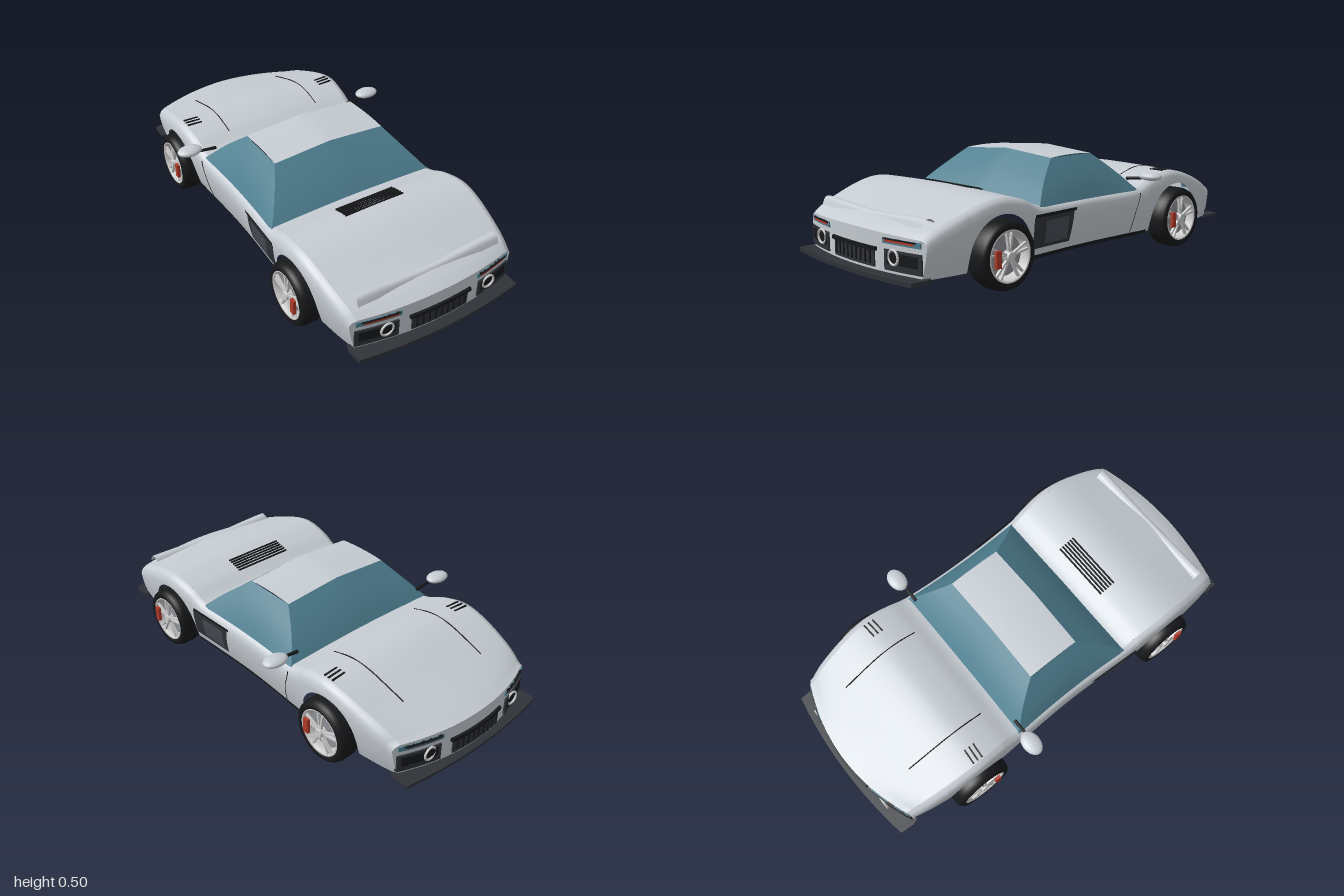
import * as THREE from 'three';

const mat = (color) => new THREE.MeshStandardMaterial({ color, side: THREE.DoubleSide });
const { clamp, lerp } = THREE.MathUtils;

// Smooth function of z through a few [z, value] points
function profile(pts) {
  const slope = (i) => {
    const a = pts[Math.max(i - 1, 0)], b = pts[Math.min(i + 1, pts.length - 1)];
    return (b[1] - a[1]) / (b[0] - a[0]);
  };
  return (z) => {
    let i = 0;
    while (i < pts.length - 2 && z > pts[i + 1][0]) i++;
    const [z0, a] = pts[i], [z1, b] = pts[i + 1], h = z1 - z0;
    const t = clamp((z - z0) / h, 0, 1), t2 = t * t, t3 = t2 * t;
    return (2 * t3 - 3 * t2 + 1) * a + (t3 - 2 * t2 + t) * h * slope(i)
      + (3 * t2 - 2 * t3) * b + (t3 - t2) * h * slope(i + 1);
  };
}

const TAIL = 0.95, NOSE = -0.97, AXLE = 0.55, HUB = 0.145, ARCH = 0.16, SILL = 0.09;
const topY = profile([[-0.97, 0.243], [-0.9, 0.268], [-0.75, 0.312], [-0.6, 0.355], [-0.51, 0.365], [-0.4, 0.343],
  [-0.3, 0.303], [0, 0.298], [0.32, 0.303], [0.42, 0.343], [0.54, 0.365], [0.63, 0.355], [0.77, 0.312], [0.9, 0.268], [0.95, 0.243]]);
const halfW = profile([[-0.97, 0.405], [-0.8, 0.425], [-0.55, 0.447], [-0.35, 0.437], [0, 0.425], [0.35, 0.437],
  [0.55, 0.447], [0.8, 0.428], [0.95, 0.408]]);
const sideX = (z, y) => halfW(z) - 0.03 * Math.max(0, (0.27 - y) / 0.18) ** 2;
const crownY = (x, z) => topY(z) + 0.01 * (1 - (Math.abs(x) / 0.42) ** 1.4);
// Curves the nose and tail back towards the corners
const bow = (x, z) => {
  const t = clamp((Math.abs(z) - 0.65) / 0.3, 0, 1);
  return z - Math.sign(z) * t * t * (z > 0 ? 0.06 : 0.1) * (x / 0.42) ** 2;
};
const bottomY = (z) => {
  const d = Math.abs(Math.abs(z) - AXLE);
  return d <= ARCH ? HUB + Math.sqrt(ARCH * ARCH - d * d) : SILL;
};

// Surface from f(u, v) => [x, y, z]
function grid(f, nu, nv, flip = false) {
  const pos = [], idx = [];
  for (let j = 0; j <= nv; j++) for (let i = 0; i <= nu; i++) pos.push(...f(i / nu, j / nv));
  for (let j = 0; j < nv; j++) for (let i = 0; i < nu; i++) {
    const a = j * (nu + 1) + i, b = a + 1, c = a + nu + 1, d = c + 1;
    idx.push(...(flip ? [a, c, b, b, c, d] : [a, b, c, b, d, c]));
  }
  const g = new THREE.BufferGeometry();
  g.setAttribute('position', new THREE.Float32BufferAttribute(pos, 3));
  g.setIndex(idx);
  g.computeVertexNormals();
  return g;
}

export function createModel() {
  const car = new THREE.Group();
  const paint = mat(0xc6ccd2), glass = mat(0x4f7f90), dark = mat(0x2f3237), black = mat(0x17181a);
  const metal = mat(0xcccccc), red = mat(0xb03a28), slate = mat(0x474b54);
  const add = (name, geo, m, x = 0, y = 0, z = 0, parent = car) => {
    const mesh = new THREE.Mesh(geo, m);
    mesh.name = name;
    mesh.position.set(x, y, z);
    parent.add(mesh);
    return mesh;
  };
  const box = (name, m, w, h, d, x, y, z, parent) => add(name, new THREE.BoxGeometry(w, h, d), m, x, y, z, parent);
  const line = (name, pts, r) => add(name, new THREE.TubeGeometry(
    new THREE.CatmullRomCurve3(pts.map((p) => new THREE.Vector3(...p))), 24, r, 5), black);

  // Side panels with wheel arches
  const zs = [];
  for (let i = 0; i <= 96; i++) zs.push(lerp(NOSE, TAIL, i / 96));
  for (const c of [-AXLE, AXLE]) for (const e of [-1, 1]) for (const d of [-0.0005, 0.0005, -0.006, -0.012])
    zs.push(c + e * (ARCH + d));
  zs.sort((a, b) => a - b);
  for (const s of [-1, 1]) {
    add('sidePanel', grid((u, v) => {
      const z = zs[Math.round(u * (zs.length - 1))], k = Math.round(v * 9);
      const w = halfW(z), t = topY(z), b = bottomY(z);
      let x, y;
      if (k <= 6) { y = lerp(b, t - 0.05, k / 6); x = sideX(z, y); }
      else [x, y] = [[w - 0.004, t - 0.025], [w - 0.015, t - 0.008], [w - 0.035, t]][k - 7];
      return [s * x, y, bow(x, z)];
    }, zs.length - 1, 9, s > 0), paint);
  }

  // Hood and rear deck
  const deck = (name, z0, z1) => add(name, grid((u, v) => {
    const z = lerp(z0, z1, v), x = (2 * u - 1) * (halfW(z) - 0.035);
    const e = Math.abs(2 * u - 1);
    return [x, topY(z) + 0.01 * (1 - e ** 1.4), bow(x, z)];
  }, 24, 36, true), paint);
  deck('hood', NOSE, -0.29);
  deck('rearDeck', 0.31, TAIL);

  // Cabin: sloping glass and roof
  const roofY = (x) => 0.47 + 0.02 * (1 - Math.abs(x) / 0.28);
  for (const s of [-1, 1]) {
    add(s > 0 ? 'rearWindow' : 'windscreen', grid((u, v) => {
      const x = (2 * u - 1) * lerp(0.415, 0.28, v);
      const y = lerp(0.297 + 0.008 * (1 - Math.abs(2 * u - 1)), roofY(x), v);
      return [x, y, s * (lerp(s > 0 ? 0.325 : 0.3, 0.125, v) + 0.012 * Math.sin(v * Math.PI))];
    }, 20, 8, s < 0), glass);
    add('sideWindow', grid((u, v) => {
      const z = lerp(lerp(-0.3, -0.125, v), lerp(0.325, 0.125, v), u);
      const edge = 1 - (2 * u - 1) ** 2;
      const x = lerp(0.415 - 0.012 * edge, 0.28, v) + 0.01 * edge * Math.sin(v * Math.PI);
      return [s * x, lerp(0.295, 0.47, v), z + Math.sign(u - 0.5) * (1 - edge) * 0.012 * Math.sin(v * Math.PI)];
    }, 20, 8, s > 0), glass);
  }
  add('roof', grid((u, v) => {
    const x = (2 * u - 1) * 0.28;
    return [x, roofY(x) + 0.006 * (1 - (2 * v - 1) ** 2), (2 * v - 1) * 0.127];
  }, 12, 8, true), paint);

  // Nose and tail faces with panels, grille, lamps and lower lips
  for (const s of [-1, 1]) {
    const zEnd = s > 0 ? TAIL : NOSE, t = topY(zEnd);
    add(s > 0 ? 'tailPanel' : 'nosePanel', grid((u, v) => {
      const y = lerp(SILL - 0.005, t, v), round = Math.max(0, (y - t + 0.025) / 0.025) ** 2;
      const e = 2 * u - 1, x = e * (sideX(zEnd, y) - 0.035 * round);
      return [x, y + 0.01 * v ** 4 * (1 - Math.abs(e) ** 1.4), bow(x, zEnd)];
    }, 24, 14, s < 0), paint);
    const strip = (name, m, x0, x1, y0, y1, d) => {
      const g = new THREE.BoxGeometry(x1 - x0, y1 - y0, d, 12, 1, 1);
      g.translate((x0 + x1) / 2, (y0 + y1) / 2, zEnd);
      const p = g.attributes.position;
      for (let i = 0; i < p.count; i++) p.setZ(i, bow(p.getX(i), p.getZ(i)));
      g.computeVertexNormals();
      add(name, g, m);
    };
    strip('grille', dark, -0.14, 0.14, 0.11, 0.178, 0.012);
    strip('grilleBar', black, -0.152, 0.152, 0.175, 0.19, 0.024);
    for (let i = -4; i <= 4; i++) strip('grilleFin', black, i * 0.03 - 0.003, i * 0.03 + 0.003, 0.122, 0.176, 0.022);
    for (const e of [-1, 1]) {
      const side = (name, m, a, b, y0, y1, d) => strip(name, m, Math.min(e * a, e * b), Math.max(e * a, e * b), y0, y1, d);
      side('lampPanel', dark, 0.2, 0.385, 0.11, 0.19, 0.014);
      side('lampInset', black, 0.215, 0.37, 0.135, 0.18, 0.018);
      side('lampCover', glass, 0.19, 0.38, 0.212, 0.234, 0.01);
      side('lampStrip', s > 0 ? red : slate, 0.205, 0.35, 0.22, 0.229, 0.018);
      side('lampTrim', black, 0.2, 0.36, 0.229, 0.234, 0.02);
      add('roundLamp', new THREE.TorusGeometry(0.029, 0.005, 8, 28), metal, e * 0.255, 0.165, bow(0.255, zEnd) + s * 0.012);
    }
    const plan = new THREE.Shape();
    plan.moveTo(-0.395, 0.87);
    plan.lineTo(-0.405, 0.9);
    plan.lineTo(-0.4, 0.965);
    plan.quadraticCurveTo(0, 1.035, 0.4, 0.965);
    plan.lineTo(0.405, 0.9);
    plan.lineTo(0.395, 0.87);
    plan.quadraticCurveTo(0, s > 0 ? 0.98 : 1.03, -0.395, 0.87);
    const lip = new THREE.ExtrudeGeometry(plan, { depth: s > 0 ? 0.018 : 0.012, bevelEnabled: false, curveSegments: 20 });
    lip.rotateX(Math.PI / 2);
    if (s < 0) lip.rotateY(Math.PI);
    add(s > 0 ? 'rearDiffuser' : 'frontSplitter', lip, dark, 0, 0.098, 0);
  }
  for (let i = -3; i <= 3; i++) box('diffuserFin', black, 0.006, 0.012, 0.06, i * 0.1, 0.076, 0.95 - 0.0036 * i * i);

  // Rear spoiler, dipping in the middle
  const lipCurve = new THREE.CatmullRomCurve3([[0.808, 0.288], [0.83, 0.31], [0.858, 0.31], [0.875, 0.278]]
    .map(([z, y]) => new THREE.Vector3(0, y, z)));
  add('spoiler', grid((u, v) => {
    const p = lipCurve.getPoint(v), dip = 0.5 + 0.5 * Math.cos((2 * u - 1) * Math.PI);
    return [(2 * u - 1) * 0.352, p.y - 0.013 * dip, p.z + 0.01 * dip * (1 - v)];
  }, 24, 10, true), paint);

  // Deck louvres, hood vents and hood creases
  const slat = (name, w, x, z) => box(name, black, w, 0.006, 0.007, x, crownY(x, z) + 0.001, z);
  for (let i = 0; i < 6; i++) slat('deckLouvre', 0.295, 0, 0.405 + i * 0.015);
  for (const s of [-1, 1]) {
    for (let i = 0; i < 3; i++) slat('hoodVent', 0.072, s * 0.37, -0.54 + i * 0.023).rotation.y = s * 0.07;
    line('hoodCrease', [-0.78, -0.68, -0.58, -0.48, -0.38].map((z, i) =>
      [s * (0.237 + 0.008 * Math.sin(i * 0.5)), crownY(0.24, z), bow(0.24, z)]), 0.003);

    // Door seam, side intake and sill
    line('doorSeam', [[-0.3, 0.285], [-0.292, 0.25], [-0.275, 0.2], [-0.265, 0.15], [-0.258, 0.1]].map(([z, y]) =>
      [s * sideX(z, y), y, z]), 0.002);
    const sidePatch = (name, m, z0, z1, y0, y1, slant, out) => add(name, grid((u, v) => {
      const y = lerp(y0, y1, v), z = lerp(z0 - slant * v, z1, u);
      return [s * (sideX(z, y) + out), y, z];
    }, 8, 6, s > 0), m);
    sidePatch('sideIntake', dark, 0.15, 0.38, 0.13, 0.262, 0.015, 0.003);
    sidePatch('intakeInset', slate, 0.17, 0.31, 0.145, 0.245, 0, 0.005);
    sidePatch('intakeTrim', black, 0.12, 0.375, 0.262, 0.275, 0, 0.004);
    sidePatch('sill', black, -0.37, 0.38, 0.085, 0.102, 0, 0.004);

    // Door mirrors
    const arm = add('mirrorArm', new THREE.CylinderGeometry(0.006, 0.008, 0.09, 8), black, s * 0.41, 0.353, -0.283);
    arm.rotation.z = s * -1.45;
    add('mirror', new THREE.SphereGeometry(1, 24, 16), paint, s * 0.492, 0.369, -0.293).scale.set(0.059, 0.02, 0.041);
  }

  // Wheels
  const lathe = (pts) => new THREE.LatheGeometry(pts.map((p) => new THREE.Vector2(...p)), 48).rotateZ(-Math.PI / 2);
  const tyre = lathe([[0.104, -0.05], [0.115, -0.056], [0.128, -0.054], [0.137, -0.044], [0.142, -0.025], [0.142, 0.025],
    [0.137, 0.044], [0.128, 0.054], [0.115, 0.056], [0.104, 0.05]]);
  const rim = lathe([[0.1, -0.05], [0.096, 0.03], [0.098, 0.05], [0.106, 0.054], [0.108, 0.048]]);
  const disc = new THREE.CylinderGeometry(0.082, 0.082, 0.012, 40).rotateZ(Math.PI / 2);
  const hub = new THREE.CylinderGeometry(0.018, 0.024, 0.03, 20).rotateZ(-Math.PI / 2);
  for (const s of [-1, 1]) for (const z of [-AXLE, AXLE]) {
    const wheel = new THREE.Group();
    wheel.name = z > 0 ? 'rearWheel' : 'frontWheel';
    wheel.position.set(s * 0.43, 0.142, z);
    wheel.scale.x = s;
    car.add(wheel);
    add('tyre', tyre, black, 0, 0, 0, wheel);
    add('rim', rim, metal, 0, 0, 0, wheel);
    add('brakeDisc', disc, mat(0x8d9196), 0.015, 0, 0, wheel);
    add('hub', hub, metal, 0.045, 0, 0, wheel);
    for (let i = 0; i < 5; i++) for (const e of [-0.14, 0.14]) {
      const spoke = new THREE.Group();
      spoke.rotation.x = i * Math.PI * 0.4 + e;
      wheel.add(spoke);
      box('spoke', metal, 0.012, 0.085, 0.009, 0.044, 0.058, 0, spoke);
    }
    box('brakeCaliper', red, 0.014, 0.07, 0.026, 0.059, 0, 0.07, wheel);
  }
  return car;
}
